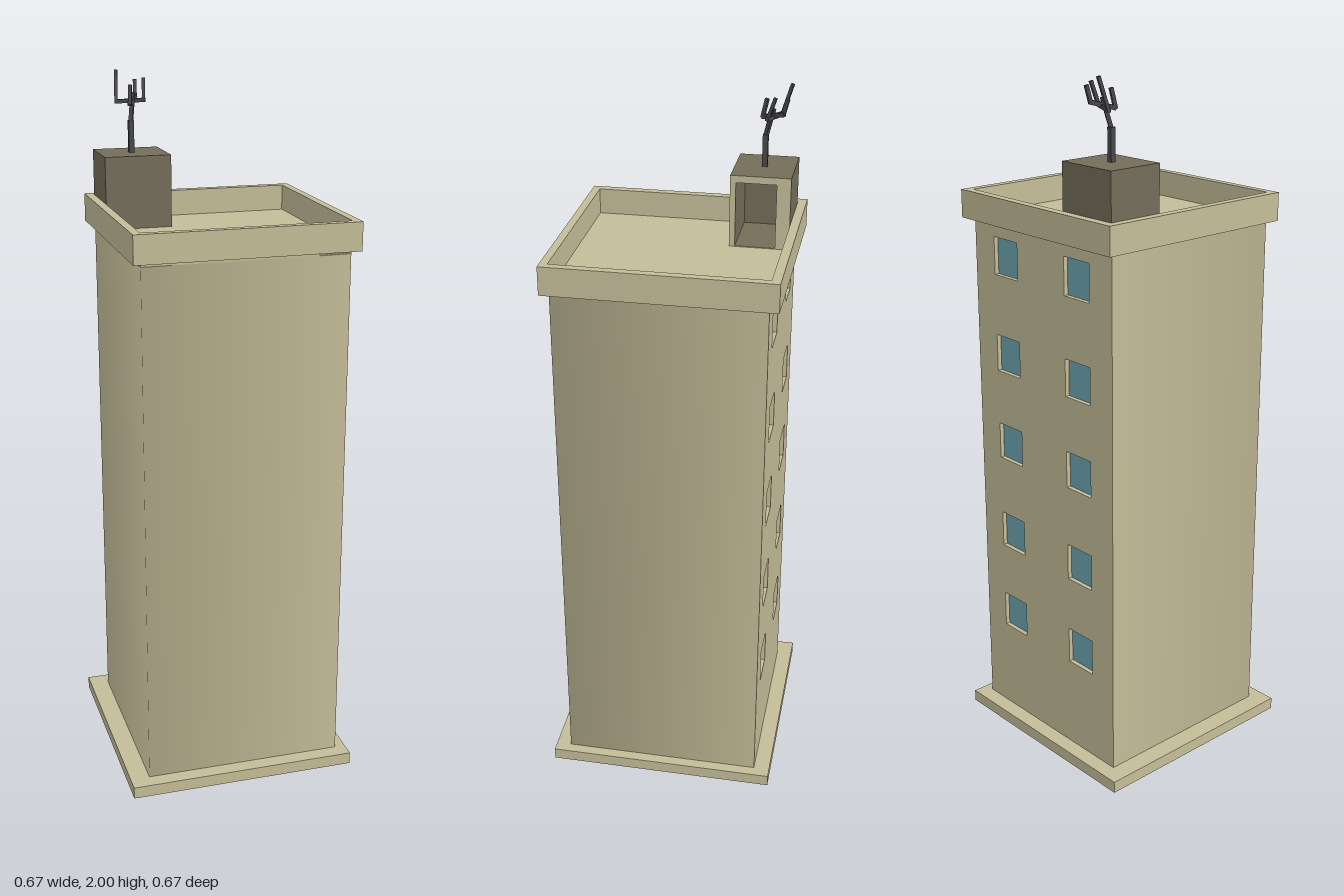
import * as THREE from 'three';

export function createModel() {
  const model = new THREE.Group();
  model.name = 'towerBlock';
  const mat = (name, color) => {
    const m = new THREE.MeshStandardMaterial({ color });
    m.name = name;
    return m;
  };
  const beige = mat('beigePlaster', 0xc4bc98);
  const olive = mat('darkOlive', 0x736d59);
  const blue = mat('blueGlass', 0x6fa5b1);
  const grey = mat('darkGreyMetal', 0x48484a);

  const add = (name, geometry, material, parent = model) => {
    const mesh = new THREE.Mesh(geometry, material);
    mesh.name = name;
    parent.add(mesh);
    return mesh;
  };
  // Box given by its minimum and maximum corners
  const box = (name, a, b, material, parent) => {
    const size = a.map((v, i) => b[i] - v);
    const mesh = add(name, new THREE.BoxGeometry(...size), material, parent);
    mesh.position.set(...a.map((v, i) => (v + b[i]) / 2));
    return mesh;
  };
  const rect = (Type, x0, y0, x1, y1) => {
    const p = new Type();
    p.moveTo(x0, y0).lineTo(x1, y0).lineTo(x1, y1).lineTo(x0, y1).closePath();
    return p;
  };

  const X0 = -0.277, X1 = 0.302, Z0 = -0.287, Z1 = 0.289;
  const BOTTOM = 0.035, TOP = 1.57;

  // Base slab and roof floor
  box('baseSlab', [-0.333, 0, -0.333], [0.333, BOTTOM, 0.333], beige);
  box('roofFloor', [X0, TOP - 0.015, Z0], [X1, TOP + 0.002, Z1], beige);

  // Side and front walls, shaded smoothly round the two front corners
  const d = Math.SQRT1_2;
  const corners = [
    { p: [X0, Z0], n: [-1, 0] },
    { p: [X0, Z1], n: [-d, d] },
    { p: [X1, Z1], n: [d, d] },
    { p: [X1, Z0], n: [1, 0] },
  ];
  const pos = [], nor = [], idx = [];
  corners.forEach(({ p, n }, i) => {
    for (const y of [BOTTOM, TOP]) {
      pos.push(p[0], y, p[1]);
      nor.push(n[0], 0, n[1]);
    }
    const a = i * 2;
    if (i < 3) idx.push(a, a + 2, a + 3, a, a + 3, a + 1);
  });
  const walls = new THREE.BufferGeometry();
  walls.setAttribute('position', new THREE.Float32BufferAttribute(pos, 3));
  walls.setAttribute('normal', new THREE.Float32BufferAttribute(nor, 3));
  walls.setIndex(idx);
  add('frontAndSideWalls', walls, beige);

  // Back wall with recessed windows
  const backShape = rect(THREE.Shape, X0, BOTTOM, X1, TOP);
  const windows = new THREE.Group();
  windows.name = 'backWindows';
  for (const x of [0.166, -0.136]) {
    for (const y of [1.47, 1.185, 0.915, 0.63, 0.36]) {
      const w = 0.051, h = 0.054;
      backShape.holes.push(rect(THREE.Path, x - w, y - h, x + w, y + h));
      box('windowPane', [x - w, y - h, Z0 + 0.013], [x + w, y + h, Z0 + 0.02], blue, windows);
    }
  }
  const back = add('backWall',
    new THREE.ExtrudeGeometry(backShape, { depth: 0.02, bevelEnabled: false }), beige);
  back.position.z = Z0;
  model.add(windows);

  // Parapet ring
  const ring = rect(THREE.Shape, -0.301, -0.311, 0.325, 0.315);
  ring.holes.push(rect(THREE.Path, X0, -Z1, X1, 0.29));
  const parapet = add('parapet',
    new THREE.ExtrudeGeometry(ring, { depth: 0.08, bevelEnabled: false }), beige);
  parapet.rotation.x = -Math.PI / 2;
  parapet.position.y = 1.565;

  // Stair house: hollow, with a doorway in a light frame on the left side
  const house = new THREE.Group();
  house.name = 'stairHouse';
  model.add(house);
  const section = rect(THREE.Shape, 0.122, TOP, 0.289, 1.776);
  section.holes.push(rect(THREE.Path, 0.138, TOP + 0.004, 0.25, 1.756));
  const shell = add('stairHouseShell',
    new THREE.ExtrudeGeometry(section, { depth: 0.186, bevelEnabled: false }),
    [beige, olive], house);
  shell.rotation.y = Math.PI / 2; // section x runs towards the back
  shell.position.x = -0.273;
  box('stairHouseRearWall', [-0.277, TOP, -0.289], [-0.272, 1.776, -0.122], olive, house);

  // Aerial: square bars between pairs of points
  const aerial = new THREE.Group();
  aerial.name = 'aerial';
  model.add(aerial);
  const bar = (name, a, b, t) => {
    const from = new THREE.Vector3(...a), to = new THREE.Vector3(...b);
    const mesh = add(name, new THREE.BoxGeometry(t, t, from.distanceTo(to)), grey, aerial);
    mesh.position.copy(from).add(to).multiplyScalar(0.5);
    mesh.lookAt(to);
  };
  bar('aerialMast', [-0.183, 1.77, -0.204], [-0.183, 1.865, -0.204], 0.015);
  bar('aerialNeck', [-0.183, 1.86, -0.204], [-0.171, 1.94, -0.224], 0.011);
  bar('aerialLongArm', [-0.219, 1.914, -0.244], [-0.138, 1.92, -0.211], 0.011);
  bar('aerialShortArm', [-0.188, 1.912, -0.193], [-0.157, 1.93, -0.256], 0.012);
  bar('aerialProng', [-0.216, 1.912, -0.243], [-0.209, 1.999, -0.27], 0.009);
  bar('aerialProng', [-0.143, 1.917, -0.212], [-0.138, 1.978, -0.233], 0.009);
  bar('aerialProng', [-0.187, 1.91, -0.193], [-0.183, 1.963, -0.205], 0.01);
  bar('aerialProng', [-0.159, 1.926, -0.252], [-0.156, 1.972, -0.264], 0.01);

  return model;
}
